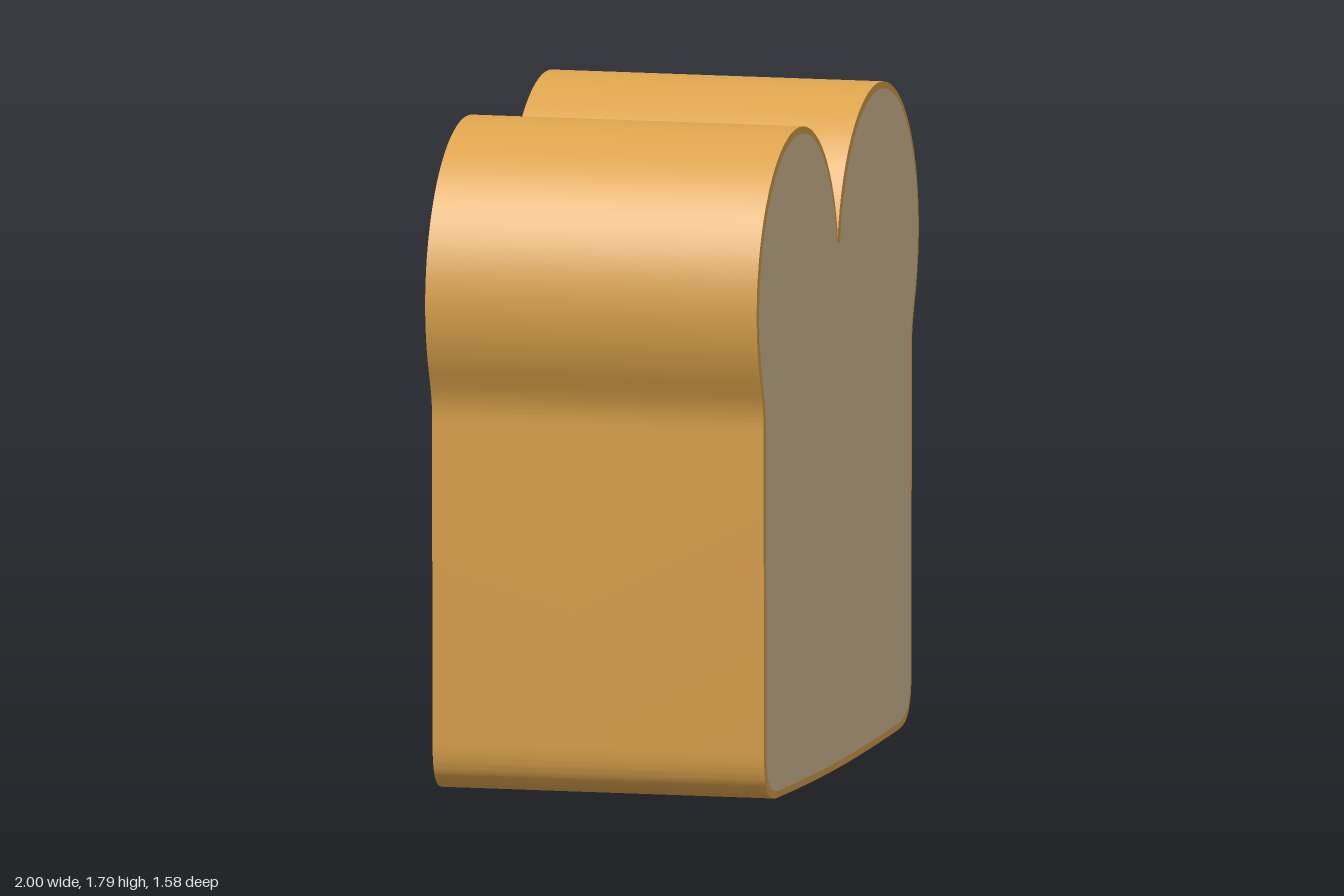
import * as THREE from 'three';
import { toCreasedNormals } from 'three/addons/utils/BufferGeometryUtils.js';

const DEPTH = 0.914;
const RIND = 0.019;

// Loaf cross-section, shrunk evenly by d: two round lobes over a straight-sided body
function loafShape(d) {
  const cx = 0.439, cy = 1.341, r = 0.449;        // lobe circle
  const notchY = cy + Math.sqrt(r * r - cx * cx); // where the lobes meet
  const notchAngle = Math.atan2(notchY - cy, cx);
  const half = new THREE.Path();
  half.moveTo(0, notchY - d);
  if (d > 0) half.absarc(0, notchY, d, -Math.PI / 2, -notchAngle, false);
  half.absarc(cx, cy, r - d, Math.PI - notchAngle, -0.35, true);
  half.bezierCurveTo(0.838 - d, 1.124, 0.812 - d, 1.09, 0.812 - d, 1.02);
  half.lineTo(0.808 - d, 0.15);
  half.bezierCurveTo(0.805 - d, 0.05 + d, 0.77 - d, 0.018 + d, 0.67, 0.012 + d);
  half.quadraticCurveTo(0.3, d, 0, d);

  const right = half.getPoints(32);
  const left = right.slice(1, -1).reverse().map(p => new THREE.Vector2(-p.x, p.y));
  return new THREE.Shape([...right, ...left]);
}

export function createModel() {
  const crustMat = new THREE.MeshStandardMaterial({ color: 0xdfa54d });
  crustMat.name = 'golden crust';
  const crumbMat = new THREE.MeshStandardMaterial({ color: 0xdcc29b });
  crumbMat.name = 'pale crumb';

  const loaf = new THREE.Group();
  loaf.name = 'breadLoaf';

  // Crust: the full loaf body
  const body = new THREE.ExtrudeGeometry(loafShape(0), { depth: DEPTH, bevelEnabled: false });
  body.translate(0, 0, -DEPTH / 2);
  const crust = new THREE.Mesh(toCreasedNormals(body, 0.6), crustMat);
  crust.name = 'crust';
  loaf.add(crust);

  // Crumb: a thin cut face on each end
  const face = new THREE.ShapeGeometry(loafShape(RIND));
  for (const [name, turn] of [['frontCrumb', 0], ['backCrumb', Math.PI]]) {
    const crumb = new THREE.Mesh(face, crumbMat);
    crumb.name = name;
    crumb.rotation.y = turn;
    crumb.position.z = Math.cos(turn) * (DEPTH / 2 + 0.002);
    loaf.add(crumb);
  }

  // The loaf stands at an angle
  loaf.rotation.y = THREE.MathUtils.degToRad(25);
  const model = new THREE.Group();
  model.name = 'bread';
  model.add(loaf);
  return model;
}
